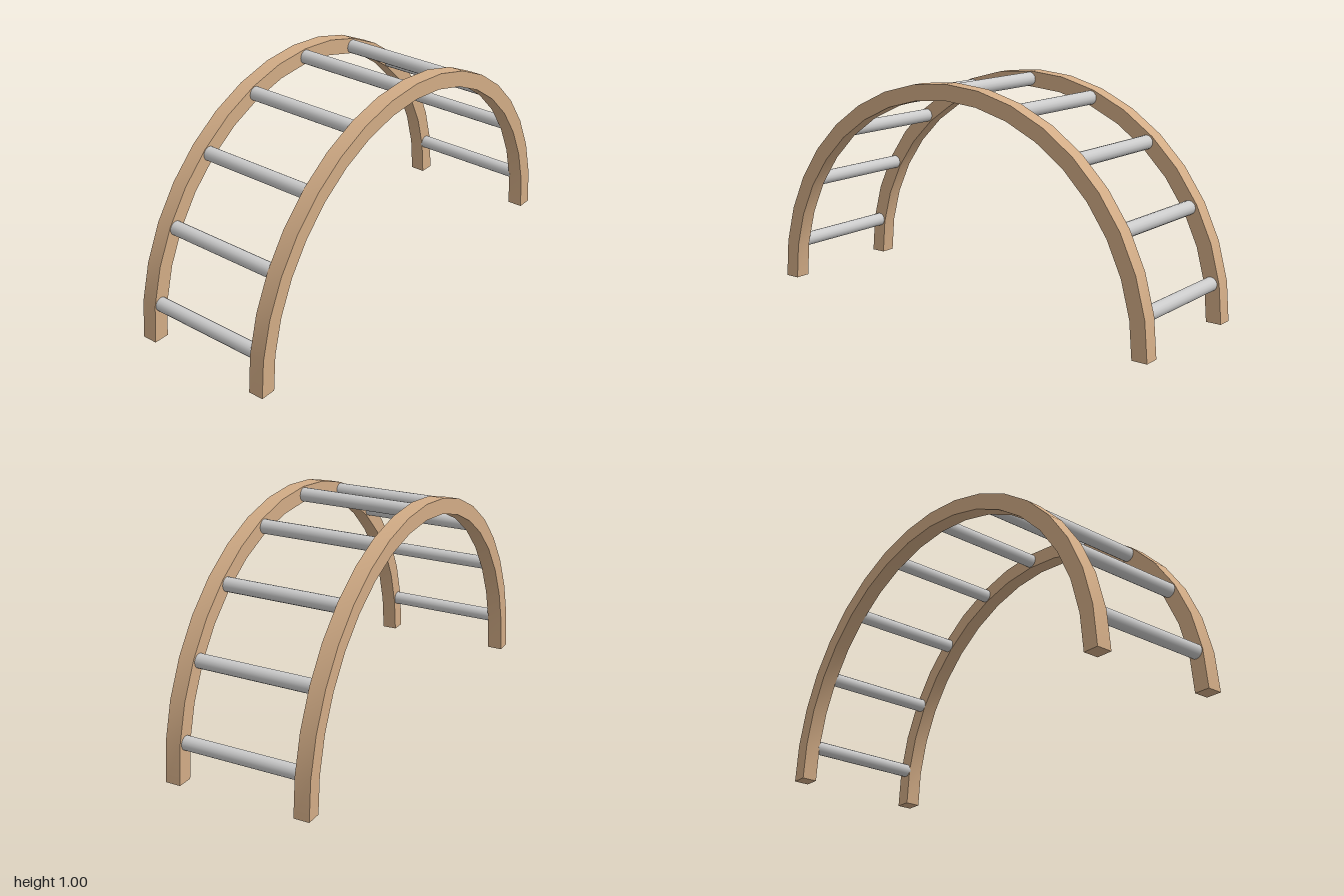
import * as THREE from 'three';
import { toCreasedNormals } from 'three/addons/utils/BufferGeometryUtils.js';

const OUTER = 1, INNER = 0.93;       // arch radii
const RAIL_Z = 0.3, RAIL_WIDTH = 0.07;
const STEPS = 18;                    // 10 degrees per arch segment

// Half-ring outline, extruded to the rail's width
function railGeometry() {
  const points = [];
  const arc = (radius, from, to) => {
    for (let i = 0; i <= STEPS; i++) {
      const a = THREE.MathUtils.lerp(from, to, i / STEPS);
      points.push(new THREE.Vector2(radius * Math.cos(a), radius * Math.sin(a)));
    }
  };
  arc(OUTER, 0, Math.PI);
  arc(INNER, Math.PI, 0);
  const geometry = new THREE.ExtrudeGeometry(new THREE.Shape(points), {
    depth: RAIL_WIDTH, bevelEnabled: false,
  });
  geometry.translate(0, 0, -RAIL_WIDTH / 2);
  return toCreasedNormals(geometry, Math.PI / 6);
}

export function createModel() {
  const group = new THREE.Group();
  group.name = 'archClimber';
  const wood = new THREE.MeshStandardMaterial({ color: 0xd2ac86 });
  const metal = new THREE.MeshStandardMaterial({ color: 0xcccccc });

  // Two wooden arches
  const rail = railGeometry();
  for (const [name, z] of [['frontRail', RAIL_Z], ['backRail', -RAIL_Z]]) {
    const mesh = new THREE.Mesh(rail, wood);
    mesh.name = name;
    mesh.position.z = z;
    group.add(mesh);
  }

  // Nine rungs, every 20 degrees along the arch
  const rung = new THREE.CylinderGeometry(0.031, 0.031, 0.54, 16);
  rung.rotateX(Math.PI / 2);
  const rungRadius = 0.962;
  for (let i = 0; i < 9; i++) {
    const a = THREE.MathUtils.degToRad(10 + 20 * i);
    const mesh = new THREE.Mesh(rung, metal);
    mesh.name = `rung${i + 1}`;
    mesh.position.set(rungRadius * Math.cos(a) - 0.003, rungRadius * Math.sin(a) + 0.002, 0);
    group.add(mesh);
  }
  return group;
}
